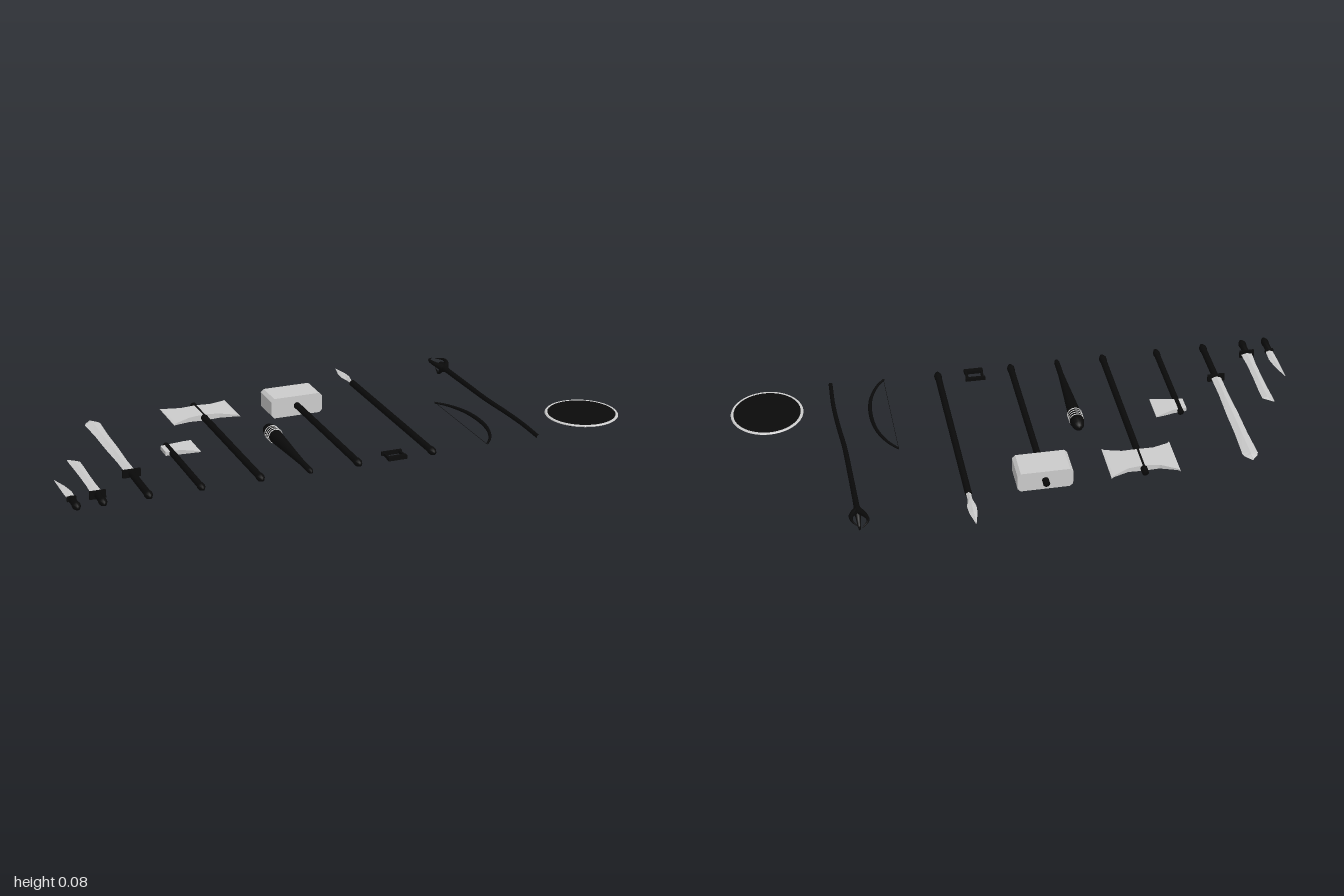
import * as THREE from 'three';

const Y = 0.042; // height of every weapon's axis
const grey = new THREE.MeshStandardMaterial({ color: 0xcccccc, flatShading: true });
const black = new THREE.MeshStandardMaterial({ color: 0x0a0a0a });
const blackFlat = new THREE.MeshStandardMaterial({ color: 0x0a0a0a, flatShading: true });

function add(parent, name, geometry, material, x = 0, y = Y, z = 0) {
  const mesh = new THREE.Mesh(geometry, material);
  mesh.name = name;
  mesh.position.set(x, y, z);
  parent.add(mesh);
  return mesh;
}

const box = (g, name, x, y, z, w, h, d, mat = blackFlat) =>
  add(g, name, new THREE.BoxGeometry(w, h, d), mat, x, y, z);

// Turned shape along z; profile is [radius, z], from back to front
function turned(g, name, x, profile, material = black, sides = 12) {
  const geo = new THREE.LatheGeometry(profile.map(([r, z]) => new THREE.Vector2(r, z)), sides);
  return add(g, name, geo.rotateX(Math.PI / 2), material, x);
}

// Round grip or shaft with a tapered pommel at the front end
const shaft = (g, name, x, z0, r = 0.011) => turned(g, name, x, [
  [0, z0], [r, z0], [r, 0.4], [r * 1.15, 0.405], [r * 1.15, 0.418], [r * 0.6, 0.434], [0, 0.436]]);

// Capped skin over cross-sections with equal point counts
function loft(sections) {
  const n = sections[0].length, last = sections.length - 1;
  const tris = [];
  for (let s = 0; s < last; s++) {
    for (let i = 0; i < n; i++) {
      const a = s * n + i, b = s * n + (i + 1) % n;
      tris.push([a, b, b + n], [a, b + n, a + n]);
    }
  }
  for (let i = 1; i < n - 1; i++) {
    tris.push([0, i + 1, i], [last * n, last * n + i, last * n + i + 1]);
  }
  // Orient the skin outward by its signed volume
  const p = sections.flat().map((v) => new THREE.Vector3(...v));
  const volume = tris.reduce((sum, [a, b, c]) => sum + p[a].dot(p[b].clone().cross(p[c])), 0);
  const geo = new THREE.BufferGeometry().setFromPoints(p);
  geo.setIndex(tris.flatMap(([a, b, c]) => (volume < 0 ? [a, c, b] : [a, b, c])));
  const flat = geo.toNonIndexed();
  flat.computeVertexNormals();
  return flat;
}

// Diamond-section blade; rows are [z, left x, right x]
const blade = (rows, t) => loft(rows.map(([z, l, r]) => {
  const m = (l + r) / 2, h = Math.min(t, (r - l) / 2);
  return [[l, 0, z], [m, h, z], [r, 0, z], [m, -h, z]];
}));

// Axe head swept sideways; rows are [x, back z, front z, half thickness]
const axeHead = (rows) => loft(rows.map(([x, a, b, t]) =>
  [[x, -t, a], [x, t, a], [x, t, b], [x, -t, b]]));

// Tapering tube through points; radius is a function of 0..1
function taperedTube(g, name, points, radius, steps = 24, sides = 8) {
  const curve = new THREE.CatmullRomCurve3(points.map((p) => new THREE.Vector3(...p)));
  const geo = new THREE.TubeGeometry(curve, steps, 1, sides, false);
  const pos = geo.attributes.position, v = new THREE.Vector3();
  for (let i = 0; i < pos.count; i++) {
    const u = Math.floor(i / (sides + 1)) / steps, c = curve.getPointAt(u);
    v.fromBufferAttribute(pos, i).sub(c).multiplyScalar(radius(u)).add(c);
    pos.setXYZ(i, v.x, v.y, v.z);
  }
  geo.computeVertexNormals();
  return add(g, name, geo, black, 0, 0, 0);
}

function group(root, name) {
  const g = new THREE.Group();
  g.name = name;
  root.add(g);
  return g;
}

export function createModel() {
  const root = new THREE.Group();
  root.name = 'weaponSet';

  // Dagger, machete and sword
  const blades = [
    ['dagger', -0.984, 0.355, 0.030, 0.016, 0.005,
      [[0.355, -0.012, 0.014], [0.3, -0.014, 0.016], [0.25, -0.014, 0.007], [0.19, -0.014, -0.012]]],
    ['machete', -0.898, 0.353, 0.054, 0.027, 0.006,
      [[0.353, -0.019, 0.022], [0.28, -0.015, 0.018], [0.2, -0.015, 0.018], [0.13, -0.016, 0.02],
        [0.07, -0.018, 0.02], [0.045, -0.018, -0.014]]],
    ['sword', -0.748, 0.226, 0.062, 0.027, 0.008,
      [[0.226, -0.018, 0.018], [0.12, -0.018, 0.017], [0.0, -0.022, 0.021], [-0.12, -0.023, 0.022],
        [-0.235, -0.028, 0.027], [-0.25, -0.022, 0.022], [-0.272, -0.002, 0.002]]],
  ];
  for (const [name, x, z, w, h, t, rows] of blades) {
    const g = group(root, name);
    shaft(g, 'grip', x, z, 0.012);
    box(g, 'guard', x, Y, z, w, h, 0.009);
    add(g, 'blade', blade(rows, t), grey, x);
  }

  // Hand axe
  const handAxe = group(root, 'handAxe');
  shaft(handAxe, 'handle', -0.572, 0.04);
  add(handAxe, 'axeHead', axeHead([[-0.023, 0.054, 0.112, 0.007], [0.025, 0.05, 0.115, 0.008],
    [0.06, 0.038, 0.125, 0.005], [0.092, 0.028, 0.137, 0.001]]), grey, -0.572);

  // Double-bladed axe
  const battleAxe = group(root, 'doubleAxe');
  shaft(battleAxe, 'handle', -0.37, -0.277, 0.012);
  const half = [[0.01, -0.25, -0.155, 0.011], [0.055, -0.252, -0.152, 0.008],
    [0.112, -0.278, -0.13, 0.003], [0.12, -0.289, -0.118, 0.001]];
  add(battleAxe, 'axeHead', axeHead([
    ...half.map(([x, a, b, t]) => [-x, a, b, t]).reverse(), ...half]), grey, -0.37);

  // Club bound with rings
  const club = group(root, 'club');
  turned(club, 'body', -0.2, [[0, 0.012], [0.012, 0.015], [0.02, 0.028], [0.025, 0.05], [0.025, 0.09],
    [0.022, 0.13], [0.018, 0.2], [0.014, 0.27], [0.01, 0.35], [0.01, 0.42], [0.006, 0.434], [0, 0.436]], black, 16);
  for (let i = 0; i < 4; i++) {
    add(club, 'bindingRing', new THREE.TorusGeometry(0.025, 0.002, 6, 20), grey, -0.2, Y, 0.063 + i * 0.012);
  }

  // War hammer with chamfered head
  const hammer = group(root, 'hammer');
  shaft(hammer, 'handle', -0.028, -0.277, 0.012);
  const w = 0.096, h = 0.0365, c = 0.011;
  const face = [[-w + c, -h], [w - c, -h], [w, -h + c], [w, h - c], [w - c, h], [-w + c, h], [-w, h - c], [-w, -h + c]];
  add(hammer, 'head', loft([-0.254, -0.145].map((z) => face.map(([x, y]) => [x, y, z]))), grey, -0.028, 0.041);

  // Knuckle guard
  const knuckles = group(root, 'knuckleGuard');
  box(knuckles, 'frontBar', 0.109, Y, 0.424, 0.068, 0.012, 0.018);
  box(knuckles, 'backBar', 0.109, Y, 0.376, 0.072, 0.012, 0.011);
  for (const s of [-1, 1]) box(knuckles, 'sideBar', 0.109 + s * 0.028, Y, 0.4, 0.008, 0.01, 0.045);

  // Spear
  const spear = group(root, 'spear');
  shaft(spear, 'pole', 0.24, -0.28, 0.012);
  add(spear, 'spearhead', blade([[-0.275, -0.009, 0.009], [-0.31, -0.008, 0.008], [-0.35, -0.016, 0.016],
    [-0.385, -0.014, 0.014], [-0.442, -0.001, 0.001]], 0.007), grey, 0.24);

  // Bow
  const bow = group(root, 'bow');
  taperedTube(bow, 'limbs', [[0.436, Y, 0.01], [0.466, Y, 0.05], [0.497, Y, 0.125], [0.508, Y, 0.22],
    [0.497, Y, 0.315], [0.466, Y, 0.39], [0.436, Y, 0.43]], (u) => 0.0035 + 0.0035 * Math.sin(Math.PI * u), 40);
  const string = new THREE.CylinderGeometry(0.0007, 0.0007, 0.42, 5).rotateX(Math.PI / 2);
  add(bow, 'string', string, black, 0.437, Y, 0.22);

  // Gnarled staff with three claws
  const staff = group(root, 'staff');
  taperedTube(staff, 'pole', [[0.628, Y, 0.435], [0.632, Y, 0.3], [0.628, Y, 0.18], [0.62, Y, 0.05],
    [0.618, Y, -0.1], [0.617, Y, -0.25], [0.617, Y, -0.33]],
  (u) => 0.007 + 0.003 * u + 0.007 * Math.max(0, (u - 0.93) / 0.07), 48);
  const claws = [
    [[0.615, Y, -0.3], [0.593, 0.05, -0.345], [0.59, 0.052, -0.375], [0.612, 0.048, -0.405]],
    [[0.619, Y, -0.3], [0.641, 0.05, -0.335], [0.642, 0.052, -0.365], [0.624, 0.048, -0.395]],
    [[0.617, Y, -0.295], [0.617, 0.026, -0.325], [0.617, 0.006, -0.35], [0.617, 0.018, -0.378]],
  ];
  for (const path of claws) taperedTube(staff, 'claw', path, (u) => 0.012 * (1 - u) + 0.0008, 16);

  // Round shield with rim, arm strap and hand grip
  const shield = group(root, 'shield');
  const cx = 0.867, cz = 0.297;
  add(shield, 'disc', new THREE.CylinderGeometry(0.12, 0.12, 0.005, 48), black, cx, 0.044, cz);
  const rim = new THREE.TorusGeometry(0.122, 0.006, 6, 48).rotateX(Math.PI / 2).scale(1, 0.6, 1);
  add(shield, 'rim', rim, grey, cx, 0.044, cz);
  box(shield, 'armStrap', 0.822, 0.02, 0.305, 0.042, 0.004, 0.07);
  box(shield, 'handGrip', 0.906, 0.013, 0.305, 0.01, 0.01, 0.07);
  for (const z of [0.272, 0.338]) {
    box(shield, 'strapEnd', 0.822, 0.031, z, 0.042, 0.024, 0.004);
    box(shield, 'gripPost', 0.906, 0.028, z, 0.003, 0.03, 0.004);
  }

  return root;
}
